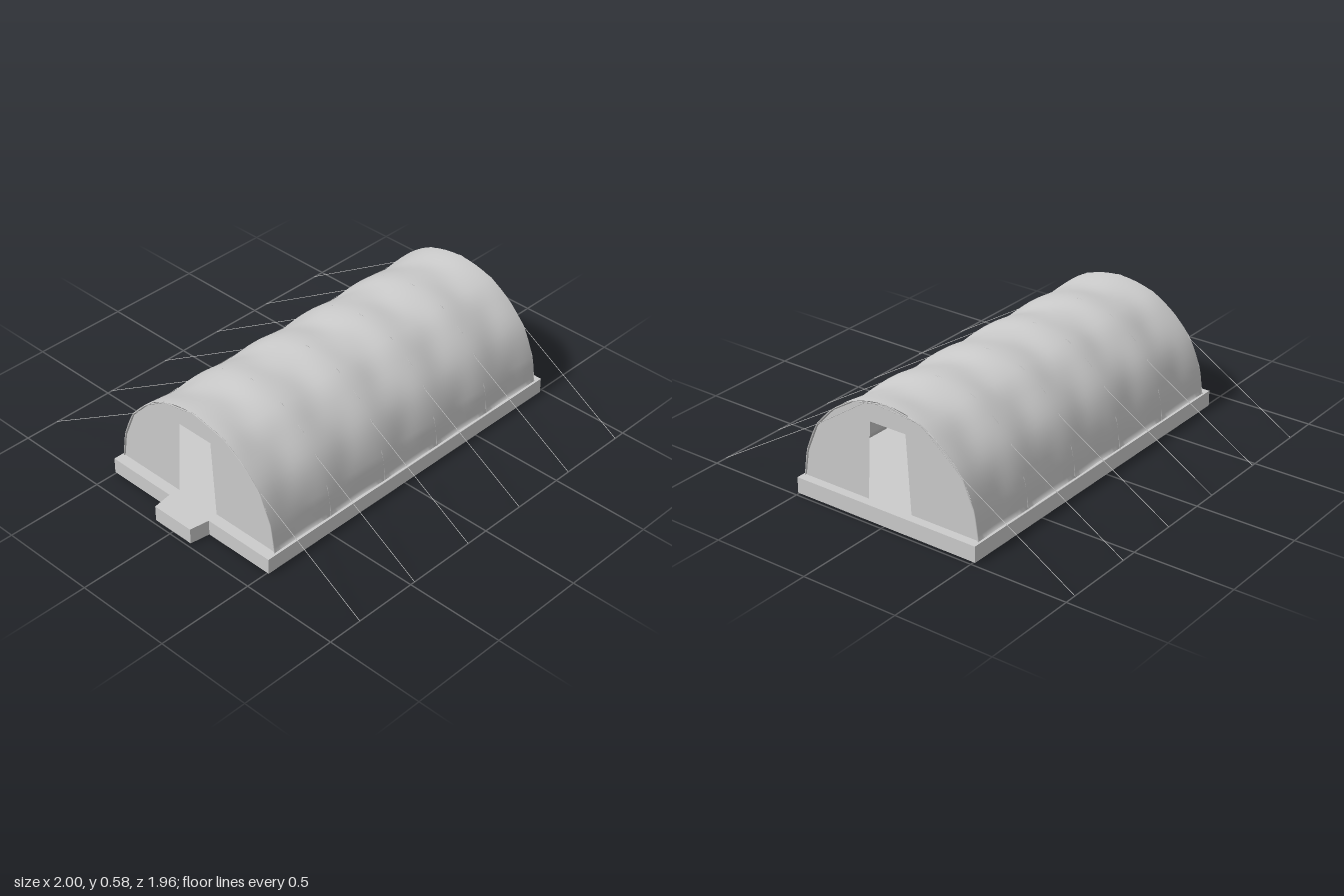
import * as THREE from 'three';
import { ParametricGeometry } from 'three/addons/geometries/ParametricGeometry.js';

const FRONT = 0.83, BACK = -0.94, BAYS = 5, FLOOR = 0.08;
const BAY = (FRONT - BACK) / BAYS;

// Arch profile from one foot over the ridge to the other
const half = [[0.497, 0.07], [0.476, 0.215], [0.412, 0.362], [0.312, 0.468], [0.19, 0.545]];
const arch = new THREE.CatmullRomCurve3([
  ...half.map(([x, y]) => new THREE.Vector3(x, y, 0)),
  new THREE.Vector3(0, 0.582, 0),
  ...half.slice().reverse().map(([x, y]) => new THREE.Vector3(-x, y, 0)),
]);

// Point on the canvas: it sags between the ribs and wrinkles slightly
function canvasPoint(u, z, target, offset = 0) {
  const bay = (FRONT - z) / BAY;
  const sag = Math.sin(Math.PI * bay) ** 2;
  const wrinkle = 0.005 * sag * Math.sin(u * 29 + Math.floor(bay) * 2.1) * Math.sin(bay * 7);
  arch.getPoint(u, target);
  const s = 1 - 0.028 * sag * Math.sin(Math.PI * u) ** 0.5 + wrinkle + offset;
  return target.set(target.x * s, 0.07 + (target.y - 0.07) * s, z);
}

// Straight-segment path through [x, y] points at depth z
function polyline(points, z) {
  const path = new THREE.CurvePath();
  const pts = points.map(([x, y]) => new THREE.Vector3(x, y, z));
  for (let i = 1; i < pts.length; i++) path.add(new THREE.LineCurve3(pts[i - 1], pts[i]));
  return path;
}

export function createModel() {
  const model = new THREE.Group();
  const grey = new THREE.MeshStandardMaterial({ color: 0xcccccc });
  const cloth = new THREE.MeshStandardMaterial({ color: 0xcccccc, side: THREE.DoubleSide });
  const add = (name, geometry, material = grey) => {
    const mesh = new THREE.Mesh(geometry, material);
    mesh.name = name;
    model.add(mesh);
    return mesh;
  };

  // Hollow base, open below, with a tapered doorstep in its outline
  const outline = [[-0.508, -0.88], [-0.13, -0.88], [-0.115, -0.98], [0.115, -0.98],
    [0.13, -0.88], [0.508, -0.88], [0.508, 0.98], [-0.508, 0.98]]
    .map(([x, y]) => new THREE.Vector2(x, y));
  add('floor', new THREE.ShapeGeometry(new THREE.Shape(outline)).rotateX(-Math.PI / 2), cloth)
    .position.y = FLOOR;
  outline.forEach((a, i) => {
    const b = outline[(i + 1) % outline.length];
    const panel = add('baseSide', new THREE.PlaneGeometry(a.distanceTo(b), FLOOR), cloth);
    panel.position.set((a.x + b.x) / 2, FLOOR / 2, -(a.y + b.y) / 2);
    panel.rotation.y = Math.atan2(b.y - a.y, b.x - a.x);
  });

  // Canvas cover
  add('canvasCover', new ParametricGeometry((u, v, p) =>
    canvasPoint(u, FRONT + (BACK - FRONT) * v, p), 40, 60), cloth);

  // End walls with a tapered doorway
  const wall = new THREE.Shape();
  arch.getPoints(10).forEach((p, i) => {
    const x = p.x * 0.99, y = Math.max(FLOOR, p.y - 0.005);
    if (i) wall.lineTo(x, y); else wall.moveTo(x, y);
  });
  [[-0.122, FLOOR], [-0.1, 0.47], [0.1, 0.47], [0.122, FLOOR]].forEach(([x, y]) => wall.lineTo(x, y));
  wall.closePath();
  for (const [name, z] of [['frontWall', FRONT - 0.005], ['backWall', BACK + 0.005]]) {
    add(name, new THREE.ShapeGeometry(wall), cloth).position.z = z;
  }

  // Slim angular ribs under the canvas, and guy ropes running over it
  const ribPoints = arch.getPoints(10).map((p) => [p.x, p.y]);
  const ropePoints = [[1, 0.002], [0.414, 0.36], [0.1, 0.572], [-0.19, 0.546], [-0.414, 0.36], [-1, 0.002]];
  for (let i = 0; i <= BAYS; i++) {
    const z = FRONT - i * BAY;
    add('rib', new THREE.TubeGeometry(polyline(ribPoints, z), 40, 0.003, 5));
    add('guyRope', new THREE.TubeGeometry(polyline(ropePoints, i === 0 ? z - 0.008 : z), 60, 0.0015, 5));
  }

  // Window flaps lying on both sides of each bay
  for (let i = 0; i < BAYS; i++) {
    const mid = FRONT - (i + 0.5) * BAY;
    for (const start of [0.12, 0.74]) {
      add('windowFlap', new ParametricGeometry((u, v, p) =>
        canvasPoint(start + 0.14 * u, mid + 0.055 - 0.11 * v, p, 0.006), 6, 6), cloth);
    }
  }
  return model;
}
